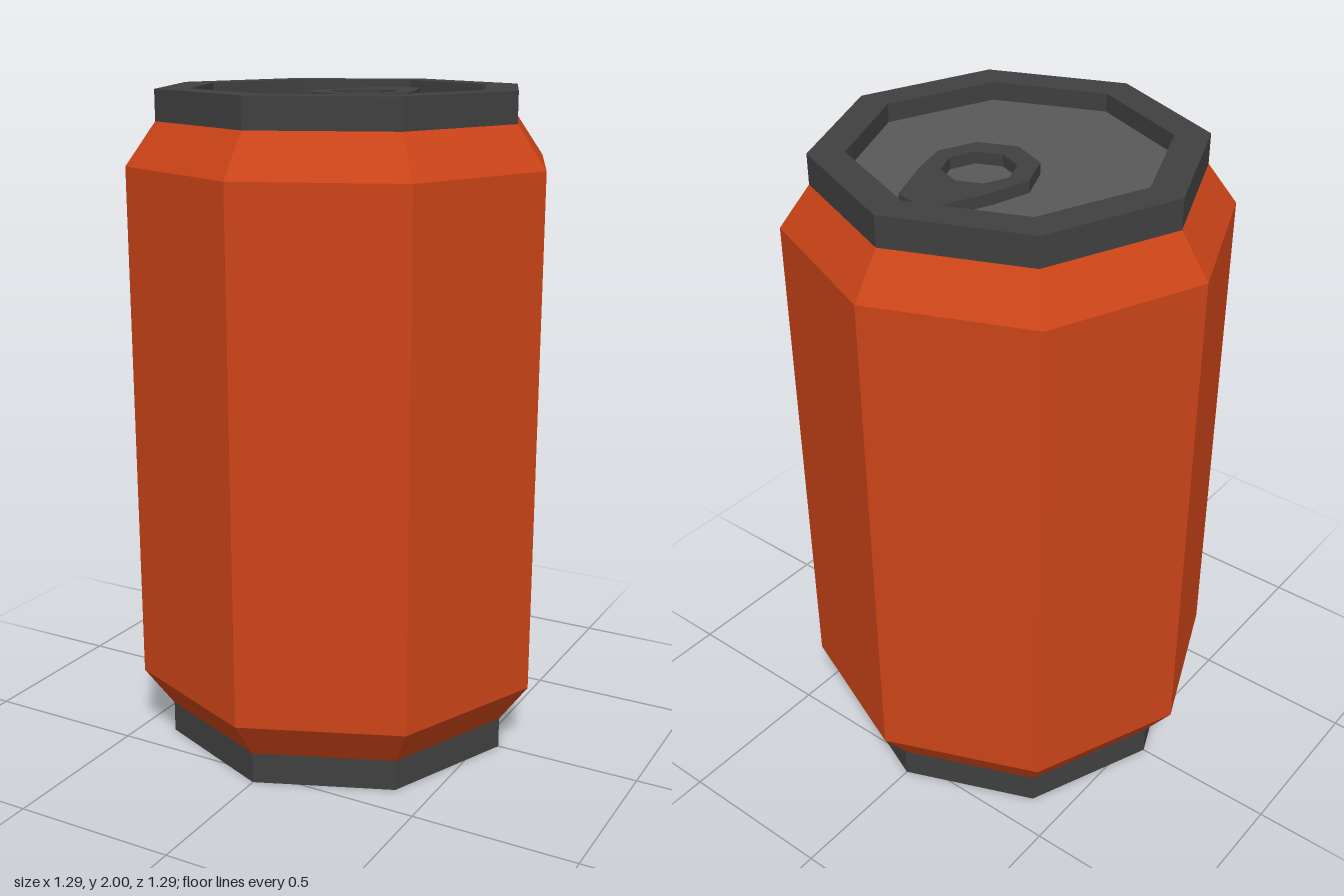
import * as THREE from 'three';

const SIDES = 8;
const paint = (color) => new THREE.MeshStandardMaterial({ color, flatShading: true });

export function createModel() {
  const group = new THREE.Group();
  const orange = paint(0xcc4418);
  const darkGrey = paint(0x404040);
  const midGrey = paint(0x595959);

  const add = (name, geometry, material) => {
    const mesh = new THREE.Mesh(geometry, material);
    mesh.name = name;
    group.add(mesh);
    return mesh;
  };
  // Eight-sided turned part from [radius, height] pairs
  const turned = (name, profile, material) =>
    add(name, new THREE.LatheGeometry(profile.map(([r, y]) => new THREE.Vector2(r, y)), SIDES), material);

  // Can wall with sloped shoulders
  turned('body', [[0.555, 0.095], [0.645, 0.22], [0.645, 1.785], [0.555, 1.91]], orange);

  // Rims, each with an inner wall down to its recessed panel
  turned('bottomRim', [[0.482, 0.02], [0.482, 0], [0.555, 0], [0.555, 0.095]], darkGrey);
  turned('topRim', [[0.555, 1.91], [0.555, 2], [0.452, 2], [0.452, 1.945]], darkGrey);

  // Recessed end panels
  turned('basePanel', [[0, 0.02], [0.482, 0.02]], darkGrey);
  turned('lidPanel', [[0.452, 1.945], [0, 1.945]], midGrey);

  // Pull tab: mirrored half outline with an octagonal finger hole
  const half = [[0.062, 0.395], [0.125, 0.24], [0.157, 0.125], [0.11, 0.015]];
  const outline = [[0, 0.41], ...half, [0, -0.032], ...half.map(([x, y]) => [-x, y]).reverse()];
  const tab = new THREE.Shape(outline.map(([x, y]) => new THREE.Vector2(x, y)));
  const hole = [];
  for (let i = 0; i < SIDES; i++) {
    const a = (i / SIDES) * Math.PI * 2;
    hole.push(new THREE.Vector2(0.103 * Math.cos(a), 0.14 + 0.103 * Math.sin(a)));
  }
  tab.holes.push(new THREE.Path(hole));
  const tabGeometry = new THREE.ExtrudeGeometry(tab, { depth: 0.035, bevelEnabled: false });
  tabGeometry.rotateX(-Math.PI / 2);
  add('pullTab', tabGeometry, darkGrey).position.y = 1.945;

  return group;
}
